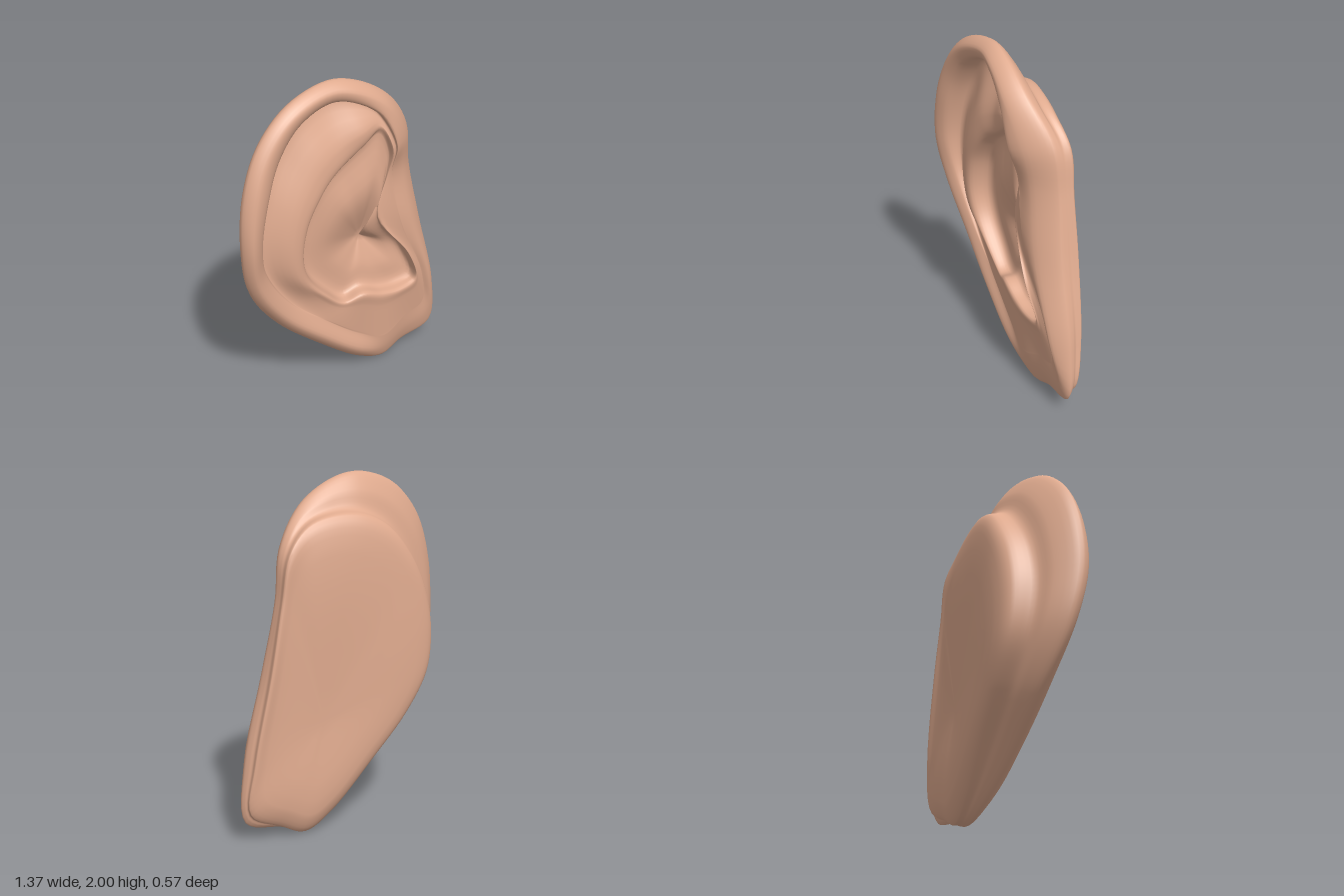
import * as THREE from 'three';
import { mergeVertices } from 'three/addons/utils/BufferGeometryUtils.js';

const V = (x, y, z) => new THREE.Vector3(x, y, z);
const ring = (a) => a.map((p) => V(...p));
const mix = (a, b, t, dz = () => 0) =>
  a.map((p, i) => {
    const q = p.clone().lerp(b[i], t);
    q.z += dz(i);
    return q;
  });

// All rings run from the top, round the -x side, to the lobe and up the +x side.
// Silhouette of the ear
const outline = ring([
  [-0.12, 2.0, 0.04], [-0.38, 1.93, 0.12], [-0.56, 1.76, 0.18], [-0.66, 1.52, 0.22],
  [-0.69, 1.2, 0.23], [-0.64, 0.88, 0.17], [-0.46, 0.58, 0.08], [-0.2, 0.33, 0.02],
  [0.12, 0.065, -0.08], [0.29, 0.005, -0.11], [0.44, 0.05, -0.16], [0.66, 0.12, -0.2],
  [0.66, 0.45, -0.2], [0.54, 0.95, -0.17], [0.46, 1.33, -0.17], [0.42, 1.6, -0.14],
  [0.26, 1.83, -0.04], [0.06, 1.96, 0.01],
]);
// Inner lip of the rolled rim
const lip = ring([
  [-0.12, 1.89, 0.09], [-0.32, 1.82, 0.15], [-0.45, 1.66, 0.19], [-0.53, 1.45, 0.23],
  [-0.57, 1.2, 0.23], [-0.54, 0.97, 0.18], [-0.38, 0.7, 0.11], [-0.13, 0.47, 0.04],
  [0.09, 0.29, -0.01], [0.27, 0.2, -0.04], [0.44, 0.28, -0.09], [0.57, 0.32, -0.13],
  [0.54, 0.58, -0.09], [0.35, 1.03, -0.01], [0.28, 1.37, 0.0], [0.285, 1.55, 0.055],
  [0.18, 1.76, 0.075], [0.03, 1.86, 0.08],
]);
// Edge of the bowl: inner ridge, notch, tragus and end of the rim
const ridge = ring([
  [-0.02, 1.51, 0.05], [-0.12, 1.44, 0.085], [-0.2, 1.35, 0.115], [-0.28, 1.2, 0.135],
  [-0.31, 1.0, 0.135], [-0.27, 0.84, 0.11], [-0.15, 0.68, 0.07], [-0.02, 0.57, 0.03],
  [0.1, 0.6, 0.03], [0.24, 0.55, 0.0], [0.37, 0.53, -0.03], [0.48, 0.56, -0.06],
  [0.4, 0.8, -0.01], [0.2, 1.09, -0.005], [0.26, 1.36, -0.01], [0.27, 1.52, 0.03],
  [0.2, 1.66, 0.01], [0.1, 1.59, 0.03],
]);
// Border of the flat back
const backEdge = ring([
  [-0.08, 1.76, -0.17], [-0.24, 1.68, -0.16], [-0.37, 1.53, -0.15], [-0.47, 1.34, -0.13],
  [-0.52, 1.1, -0.12], [-0.49, 0.85, -0.13], [-0.35, 0.62, -0.15], [-0.13, 0.38, -0.17],
  [0.14, 0.1, -0.18], [0.3, 0.01, -0.19], [0.45, 0.07, -0.21], [0.64, 0.18, -0.25],
  [0.62, 0.47, -0.28], [0.52, 0.95, -0.28], [0.45, 1.33, -0.26], [0.4, 1.58, -0.25],
  [0.27, 1.72, -0.2], [0.1, 1.77, -0.18],
]);
// Per point: undercut of the rim, drop behind the bowl's edge, height of the bowl's floor
const grooveDepth = [0.11, 0.1, 0.11, 0.11, 0.09, 0.05, 0.02, 0, 0, 0, 0, 0, 0, 0, 0, 0.02, 0.08, 0.1];
const wallDrop = [0.04, 0.06, 0.08, 0.1, 0.1, 0.09, 0.08, 0.06, 0.07, 0.06, 0.06, 0.05, 0.09, 0.005, 0.01, 0.04, 0.01, 0.03];
const floorZ = [0.01, 0.015, 0.01, 0, -0.02, -0.035, -0.05, -0.065, -0.075, -0.085, -0.095, -0.11, -0.11, -0.045, -0.015, 0, 0.005, 0.01];

// Full stack of rings from the middle of the bowl, over the rim, to the middle of the back
function buildRings() {
  const middle = outline.map(() => V(0.13, 0.92, -0.13));
  const backMiddle = outline.map(() => V(0.2, 0.65, -0.225));

  const wall = mix(ridge, middle, 0.06, (i) => -wallDrop[i]);
  const floor = mix(wall, middle, 0.45);
  floor.forEach((p, i) => { p.z = floorZ[i]; });
  // End of the rim running into the bowl
  floor[13].x -= 0.03;

  const groove = mix(lip, ridge, 0.06, (i) => -grooveDepth[i]);
  // Rounded roll outside the edge of the bowl
  const roll = mix(groove, ridge, 0.7, (i) => (i < 6 || i > 16 ? 0.03 : 0));
  const crest = mix(outline, lip, 0.45, (i) => (i > 8 && i < 12 ? 0.015 : 0.05));

  // Back of the rim and the step down to the back plate
  const rimBack = mix(outline, backEdge, 0.4);
  const step = mix(outline, backEdge, 0.85);
  step.forEach((p, i) => { p.z = THREE.MathUtils.lerp(outline[i].z, backEdge[i].z, 0.62); });
  const plate = mix(backEdge, backMiddle, 0.18);
  plate.forEach((p) => { p.z = -0.22 - 0.09 * p.x; });

  return [middle, floor, wall, ridge, roll, groove, lip, crest, outline,
    rimBack, step, backEdge, plate, backMiddle];
}

// Smooth skin through the rings, fine both around and across
function skin(rings, around = 108, sub = 5) {
  const loops = rings.map((r) => {
    if (r[0].distanceTo(r[5]) < 1e-6) return Array(around).fill(r[0]);
    const c = new THREE.CatmullRomCurve3(r, true, 'centripetal');
    return Array.from({ length: around }, (_, j) => c.getPoint(j / around));
  });
  const rows = (rings.length - 1) * sub;
  const pos = [];
  const index = [];
  for (let j = 0; j < around; j++) {
    const c = new THREE.CatmullRomCurve3(loops.map((l) => l[j]), false, 'centripetal');
    for (let i = 0; i <= rows; i++) pos.push(...c.getPoint(i / rows).toArray());
  }
  const id = (i, j) => (j % around) * (rows + 1) + i;
  for (let j = 0; j < around; j++) {
    for (let i = 0; i < rows; i++) {
      const a = id(i, j), b = id(i + 1, j), c = id(i + 1, j + 1), d = id(i, j + 1);
      // Single triangles at the two middles, quads elsewhere
      if (i < rows - 1) index.push(a, b, c);
      else index.push(a, b, d);
      if (i > 0 && i < rows - 1) index.push(a, c, d);
    }
  }
  const g = new THREE.BufferGeometry();
  g.setAttribute('position', new THREE.Float32BufferAttribute(pos, 3));
  g.setIndex(index);
  const merged = mergeVertices(g, 1e-5);
  merged.computeVertexNormals();
  return merged;
}

export function createModel() {
  const group = new THREE.Group();
  group.name = 'ear';
  const geometry = skin(buildRings());
  geometry.computeBoundingBox();
  geometry.translate(0, -geometry.boundingBox.min.y, 0);
  const mesh = new THREE.Mesh(geometry, new THREE.MeshStandardMaterial({ color: 0xe0ab8f }));
  mesh.name = 'earSkin';
  group.add(mesh);
  return group;
}
